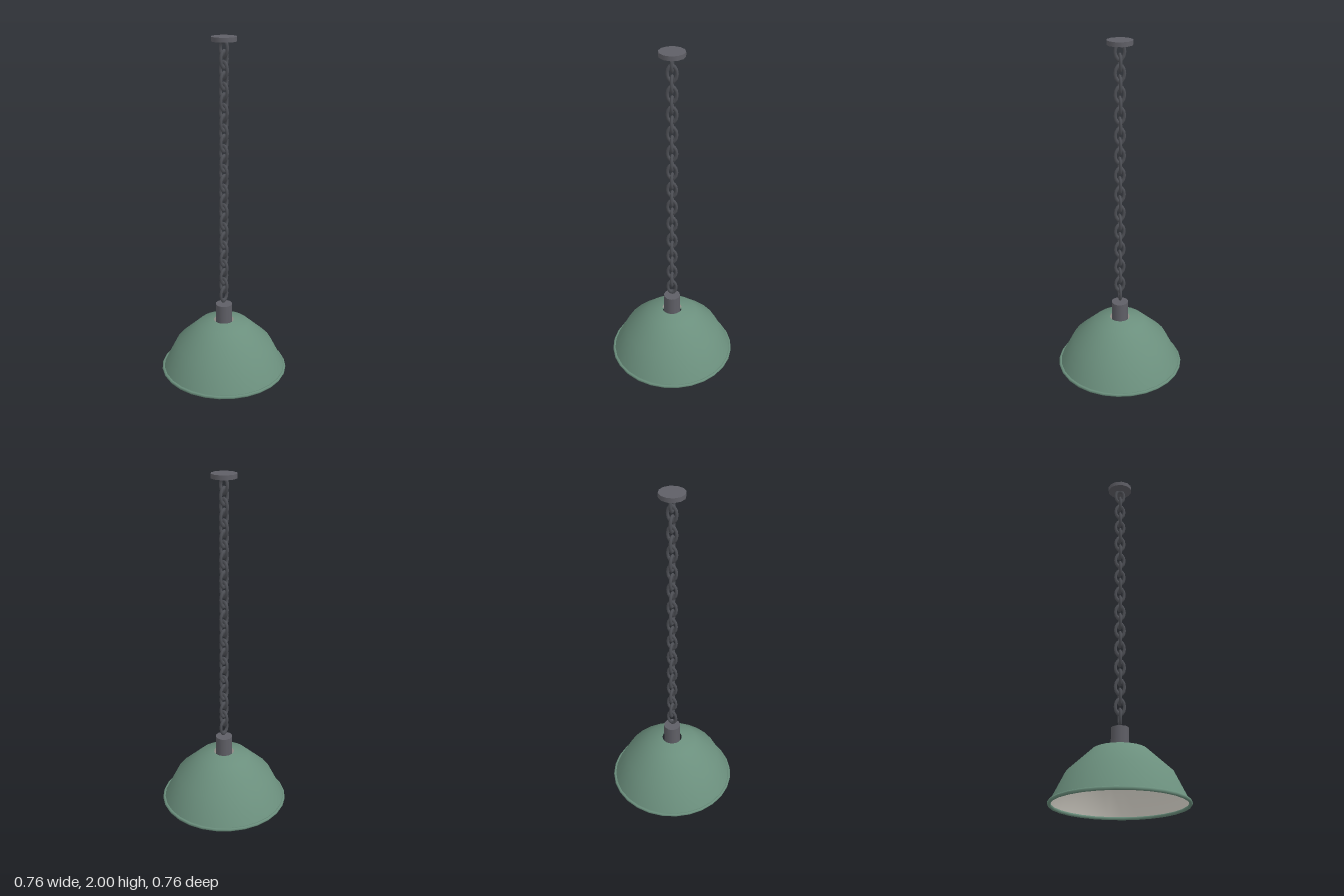
import * as THREE from 'three';

const mat = (color, side = THREE.FrontSide) => new THREE.MeshStandardMaterial({ color, side });

export function createModel() {
  const lamp = new THREE.Group();
  lamp.name = 'pendantLamp';
  const metal = mat(0x5f5f66);
  const chainMetal = mat(0x4e5056);
  const green = mat(0x6b8f7d);

  const add = (parent, name, geometry, material, y) => {
    const mesh = new THREE.Mesh(geometry, material);
    mesh.name = name;
    mesh.position.y = y;
    parent.add(mesh);
    return mesh;
  };

  // Ceiling plate
  add(lamp, 'ceilingPlate', new THREE.CylinderGeometry(0.072, 0.072, 0.025, 12), metal, 1.9875);

  // Chain: oval links, every second one turned a quarter
  const chain = new THREE.Group();
  chain.name = 'chain';
  lamp.add(chain);
  const linkGeometry = new THREE.TorusGeometry(0.026, 0.009, 6, 12);
  linkGeometry.scale(1, 1.6, 1);
  for (let i = 0; i < 26; i++) {
    const link = add(chain, 'chainLink', linkGeometry, chainMetal, 1.937 - i * 0.058);
    link.rotation.y = (i % 2) * Math.PI / 2;
  }

  // Socket reaching down through the shade to the bulb
  add(lamp, 'socket', new THREE.CylinderGeometry(0.05, 0.05, 0.195, 12), metal, 0.3275);

  // Shade: green outside, pale lining inside, open at top and bottom
  const profile = [[0.37, 0.01], [0.29, 0.17], [0.15, 0.3], [0.06, 0.32]]
    .map(([r, y]) => new THREE.Vector2(r, y));
  const inner = profile.map(p => new THREE.Vector2(p.x - 0.002, p.y - 0.002)).reverse();
  add(lamp, 'shade', new THREE.LatheGeometry(profile, 28), green, 0);
  add(lamp, 'shadeLining', new THREE.LatheGeometry(inner, 28), mat(0xe6e2d8), 0);

  // Rolled rim
  const rim = add(lamp, 'shadeRim', new THREE.TorusGeometry(0.37, 0.01, 6, 28), green, 0.01);
  rim.rotation.x = Math.PI / 2;

  // Bulb
  add(lamp, 'bulb', new THREE.SphereGeometry(0.07, 16, 12), mat(0xf0d9a8), 0.17);

  return lamp;
}
